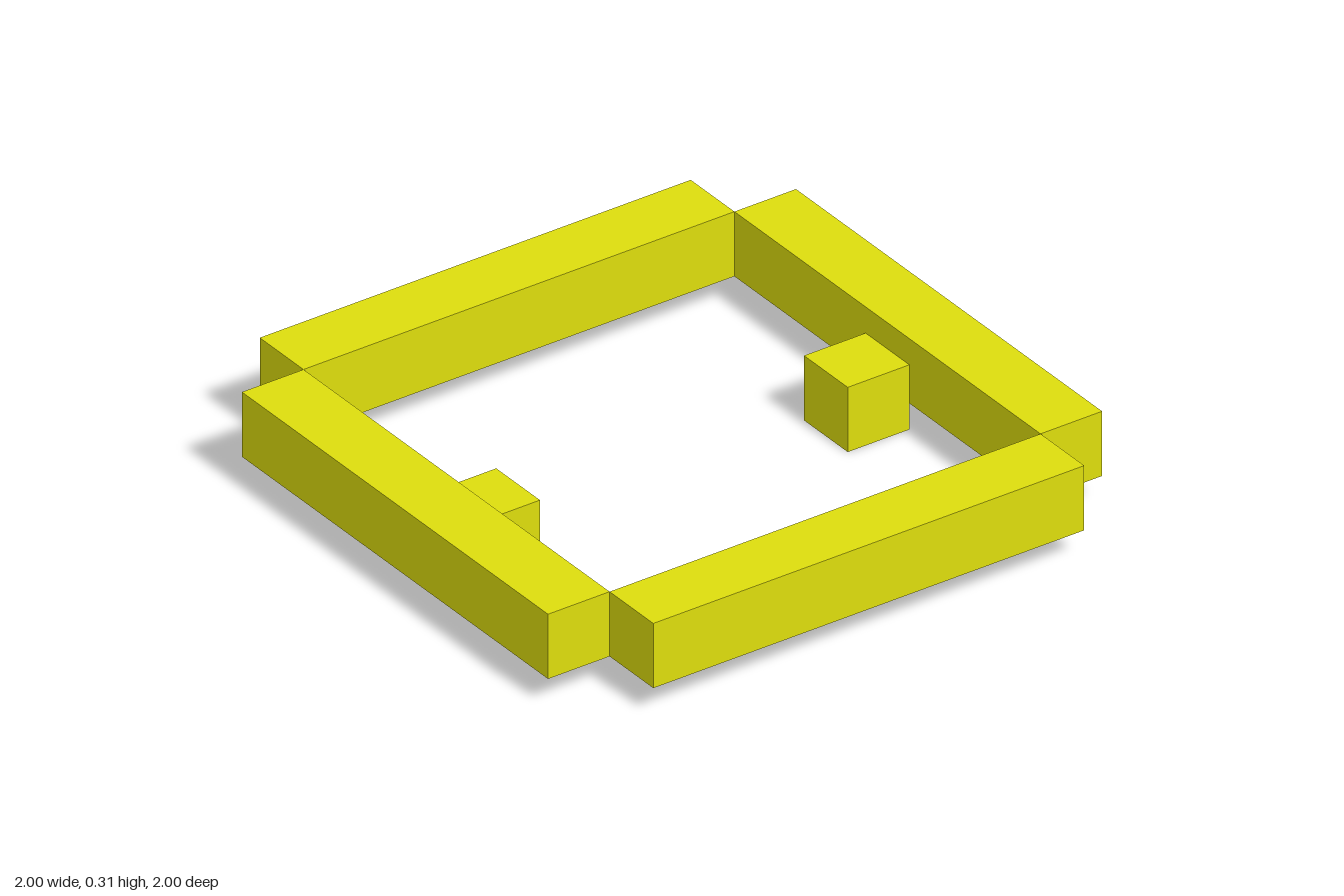
import * as THREE from 'three';

export function createModel() {
  const model = new THREE.Group();
  model.name = 'squareFrame';
  const material = new THREE.MeshStandardMaterial({ color: 0xdddd0d, flatShading: true });

  const thickness = 2 / 9;      // square section of bars and blocks
  const inner = 7 / 9;          // half width of the opening
  const barBottom = 0.09;

  const barGeometry = new THREE.BoxGeometry(inner * 2, thickness, thickness);
  const blockGeometry = new THREE.BoxGeometry(thickness, thickness, thickness);

  function add(name, geometry, x, bottom, z, turn = 0) {
    const mesh = new THREE.Mesh(geometry, material);
    mesh.name = name;
    mesh.position.set(x, bottom + thickness / 2, z);
    mesh.rotation.y = turn;
    model.add(mesh);
  }

  // Four bars meeting only at their corner edges
  const barOffset = inner + thickness / 2;
  add('frontBar', barGeometry, 0, barBottom, barOffset);
  add('backBar', barGeometry, 0, barBottom, -barOffset);
  add('leftBar', barGeometry, barOffset, barBottom, 0, Math.PI / 2);
  add('rightBar', barGeometry, -barOffset, barBottom, 0, Math.PI / 2);

  // Lower cubes against the inner faces of the front and back bars
  const blockOffset = inner - thickness / 2;
  add('frontBlock', blockGeometry, 0, 0, blockOffset);
  add('backBlock', blockGeometry, 0, 0, -blockOffset);

  return model;
}
